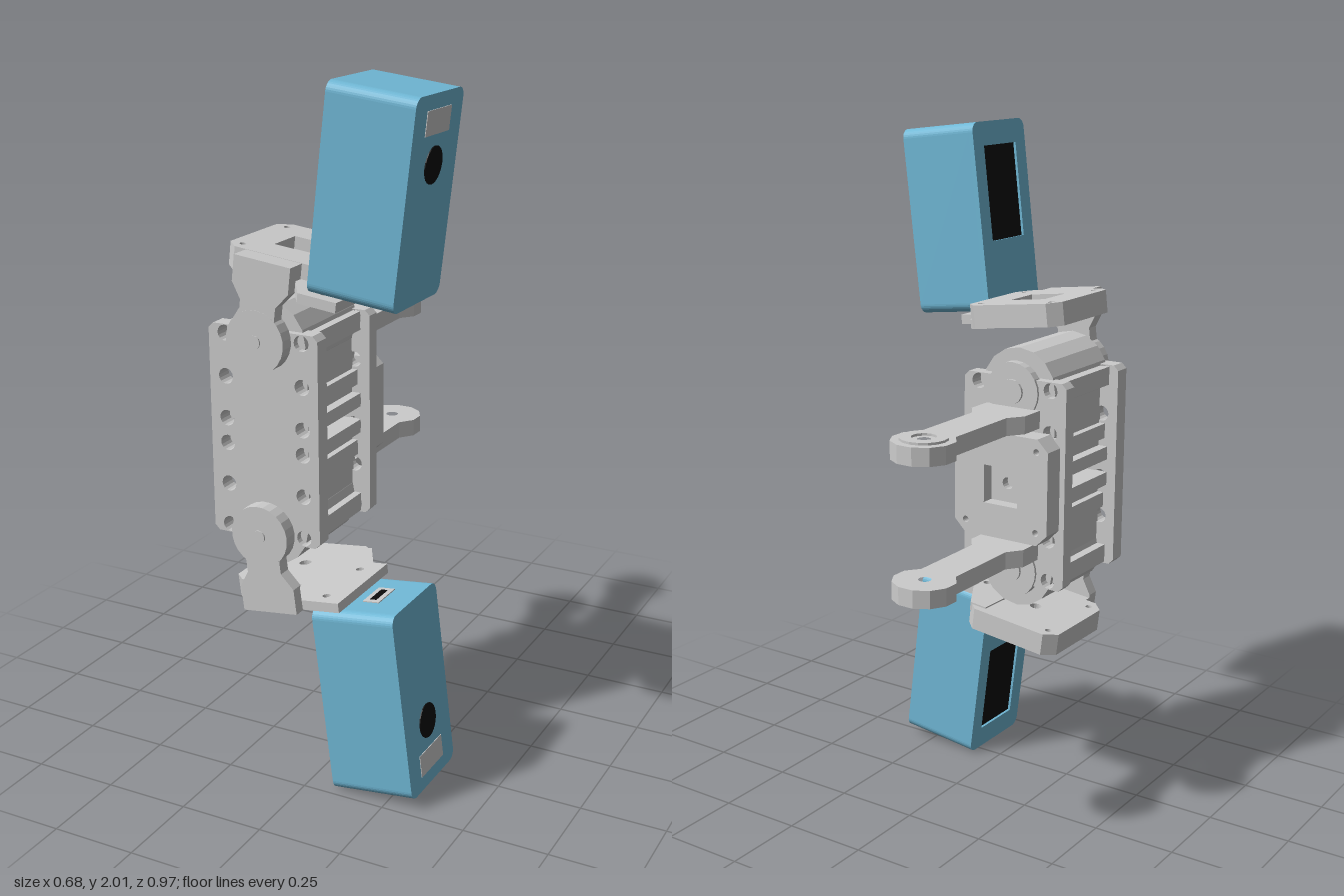
import * as THREE from 'three';

const mat = (color) => new THREE.MeshStandardMaterial({ color, flatShading: true });
const grey = mat(0xcccccc), blue = mat(0x70b8d6), black = mat(0x0a0a0a), pale = mat(0xd8d8d8);
const PX = -0.17; // x of the pivots and of the rear arms

function mesh(parent, name, geometry, material = grey) {
  const m = new THREE.Mesh(geometry, material);
  m.name = name;
  parent.add(m);
  return m;
}
// box given by its limits
function block(parent, name, x0, x1, y0, y1, z0, z1, material) {
  const g = new THREE.BoxGeometry(x1 - x0, y1 - y0, z1 - z0);
  return mesh(parent, name, g.translate((x0 + x1) / 2, (y0 + y1) / 2, (z0 + z1) / 2), material);
}
// cylinder along z between two limits
function discZ(parent, name, x, y, r, z0, z1, sides = 24) {
  const g = new THREE.CylinderGeometry(r, r, z1 - z0, sides).rotateX(Math.PI / 2);
  return mesh(parent, name, g.translate(x, y, (z0 + z1) / 2));
}
const shapeOf = (pts) => new THREE.Shape(pts.map(([a, b]) => new THREE.Vector2(a, b)));
const circle = (x, y, r) => new THREE.Path().absarc(x, y, r, 0, Math.PI * 2, true);
const rectHole = (x0, x1, y0, y1) =>
  new THREE.Path([[x0, y0], [x0, y1], [x1, y1], [x1, y0]].map(([a, b]) => new THREE.Vector2(a, b)));
// rectangle with cut corners
const octagon = (x0, x1, y0, y1, c) => shapeOf([
  [x0 + c, y0], [x1 - c, y0], [x1, y0 + c], [x1, y1 - c],
  [x1 - c, y1], [x0 + c, y1], [x0, y1 - c], [x0, y0 + c]]);
function extrude(shape, depth, holes = [], segments = 8) {
  shape.holes.push(...holes);
  return new THREE.ExtrudeGeometry(shape, { depth, bevelEnabled: false, curveSegments: segments });
}
// shape drawn in (x, z), filling the height y0..y1
const flat = (shape, y0, y1, holes) =>
  extrude(shape, y1 - y0, holes).rotateX(Math.PI / 2).translate(0, y1, 0);

// mounting plate: floor with a round hole, rim with a square recess and screw holes
function mountPlate(parent, name, height, floor) {
  const g = new THREE.Group();
  g.name = name;
  const screws = () => [-1, 1].flatMap((i) => [-1, 1].map((j) => circle(i * 0.12, j * 0.12, 0.01)));
  mesh(g, 'plateFloor', flat(octagon(-0.158, 0.158, -0.158, 0.158, 0.035), 0, floor,
    [circle(0, 0, 0.018), ...screws()]));
  mesh(g, 'plateRim', flat(octagon(-0.158, 0.158, -0.158, 0.158, 0.035), floor, height,
    [rectHole(-0.057, 0.057, -0.057, 0.057), ...screws()]));
  parent.add(g);
  return g;
}

// camera housing with a recessed window, lens, label and port
function cameraHousing() {
  const g = new THREE.Group();
  g.name = 'cameraHousing';
  const rounded = () => {
    const s = new THREE.Shape(), w = 0.139, y0 = 0.19, y1 = 0.745, r = 0.028;
    s.absarc(w - r, y0 + r, r, -Math.PI / 2, 0);
    s.absarc(w - r, y1 - r, r, 0, Math.PI / 2);
    s.absarc(-w + r, y1 - r, r, Math.PI / 2, Math.PI);
    s.absarc(-w + r, y0 + r, r, Math.PI, Math.PI * 1.5);
    s.closePath();
    return s;
  };
  const z = 0.341;
  const along = (geo, x) => geo.rotateY(Math.PI / 2).translate(x, 0, z);
  mesh(g, 'windowFrame', along(extrude(rounded(), 0.014, [rectHole(-0.086, 0.086, 0.395, 0.675)], 4), 0.168), blue);
  mesh(g, 'shell', along(extrude(rounded(), 0.238, [], 4), 0.182), blue);
  block(g, 'window', 0.176, 0.184, 0.395, 0.675, z - 0.086, z + 0.086, black);
  block(g, 'label', 0.41, 0.422, 0.64, 0.705, z - 0.07, z + 0.07, pale);
  mesh(g, 'lens', new THREE.CylinderGeometry(0.05, 0.05, 0.014, 24).rotateZ(Math.PI / 2).translate(0.416, 0.56, z), black);
  block(g, 'port', 0.285, 0.335, 0.187, 0.2, z - 0.05, z + 0.05, pale);
  block(g, 'portSlot', 0.3, 0.32, 0.186, 0.2, z - 0.035, z + 0.035, black);
  return g;
}

// tilting carrier; origin on the pivot axis
function tiltUnit() {
  const g = new THREE.Group();
  g.name = 'tiltUnit';
  const arm = shapeOf([[-0.06, 0], [0.06, 0], [0.055, 0.08], [0.055, 0.11], [0.09, 0.155],
    [0.09, 0.23], [-0.085, 0.23], [-0.085, 0.155], [-0.055, 0.11], [-0.055, 0.08]]);
  mesh(g, 'tiltArm', extrude(arm, 0.04).translate(0, 0, 0.395));
  discZ(g, 'pivotDisc', 0, 0, 0.09, 0.392, 0.436);
  discZ(g, 'pivotScrew', 0, 0, 0.019, 0.43, 0.44, 16);
  block(g, 'armFoot', -0.085, 0.09, 0.165, 0.23, 0.36, 0.42);
  mountPlate(g, 'tiltPlate', 0.067, 0.03).position.set(0.002, 0.164, 0.215);
  const bracket = shapeOf([[0.1, 0.08], [0.155, 0.08], [0.215, 0.185], [0.26, 0.185],
    [0.26, 0.485], [0.145, 0.485], [0.09, 0.4]]);
  mesh(g, 'cameraBracket', flat(bracket, 0.159, 0.187, [circle(0.2, 0.24, 0.012), circle(0.2, 0.44, 0.012)]));
  g.add(cameraHousing());
  g.rotation.z = -0.12;
  return g;
}

// rear arm with a ringed eye, lying flat
function rearArm() {
  const g = new THREE.Group();
  g.name = 'rearArm';
  const pts = [[0.09, 0.04], [0.09, -0.04], [0.058, -0.085], [0.058, -0.335]];
  for (let i = -1; i <= 10; i++) { // eye outline, twelve-sided
    const a = Math.PI * (i + 0.5) / 6 - 0.01;
    if (i >= 0 && i <= 5 || i === -1) pts.push([0.092 * Math.cos(a), -0.4 - 0.092 * Math.sin(a)]);
  }
  pts.push([-0.089, -0.376], [-0.058, -0.335], [-0.058, -0.085], [-0.09, -0.04], [-0.09, 0.04]);
  mesh(g, 'armBar', flat(shapeOf(pts), 0.172, 0.224, [circle(0, -0.4, 0.019)]));
  const ring = new THREE.Shape().absarc(0, -0.4, 0.068, 0, Math.PI * 2);
  mesh(g, 'eyeRing', flat(ring, 0.22, 0.231, [circle(0, -0.4, 0.035)]));
  g.position.set(PX, 0, 0);
  return g;
}

export function createModel() {
  const root = new THREE.Group();
  root.name = 'cameraRig';
  const body = new THREE.Group();
  body.name = 'body';
  body.position.y = 1;
  root.add(body);

  // front and back plates with two columns of screw holes
  const holes = () => [-0.293, -0.05].flatMap((x) =>
    [0.285, 0.16, 0.037].flatMap((y) => [circle(x, y, 0.023), circle(x, -y, 0.023)]));
  const plate = (name, z0, z1) =>
    mesh(body, name, extrude(octagon(-0.345, 0, -0.31, 0.31, 0.015), z1 - z0, holes()).translate(0, 0, z0));
  plate('frontPlate', 0.34, 0.39);
  plate('backPlate', 0.042, 0.085);

  // rear hub plate facing backwards
  const hub = mountPlate(body, 'rearHub', 0.07, 0.03);
  hub.rotation.x = -Math.PI / 2;
  hub.position.set(PX, 0, 0.045);

  // upper half, mirrored to make the lower half
  for (const s of [1, -1]) {
    const half = new THREE.Group();
    half.name = s > 0 ? 'upperHalf' : 'lowerHalf';
    half.scale.y = s;
    body.add(half);
    block(half, 'motorCore', -0.285, -0.058, 0.02, 0.29, 0.08, 0.345);
    block(half, 'outerRib', -0.315, -0.03, 0.25, 0.305, 0.083, 0.342);
    block(half, 'middleRib', -0.305, -0.04, 0.085, 0.13, 0.083, 0.342);
    block(half, 'innerRib', -0.315, -0.03, 0.02, 0.06, 0.083, 0.342);
    discZ(half, 'motorEnd', PX, 0.27, 0.122, 0.07, 0.37, 16);
    discZ(half, 'rearBearing', PX, 0.27, 0.085, 0.034, 0.06);
    discZ(half, 'rearShaft', PX, 0.27, 0.036, 0.026, 0.06, 16);
    discZ(half, 'frontShaft', PX, 0.285, 0.05, 0.37, 0.4);
    half.add(rearArm());
    const unit = tiltUnit();
    unit.position.set(PX, 0.285, 0);
    half.add(unit);
  }
  return root;
}
